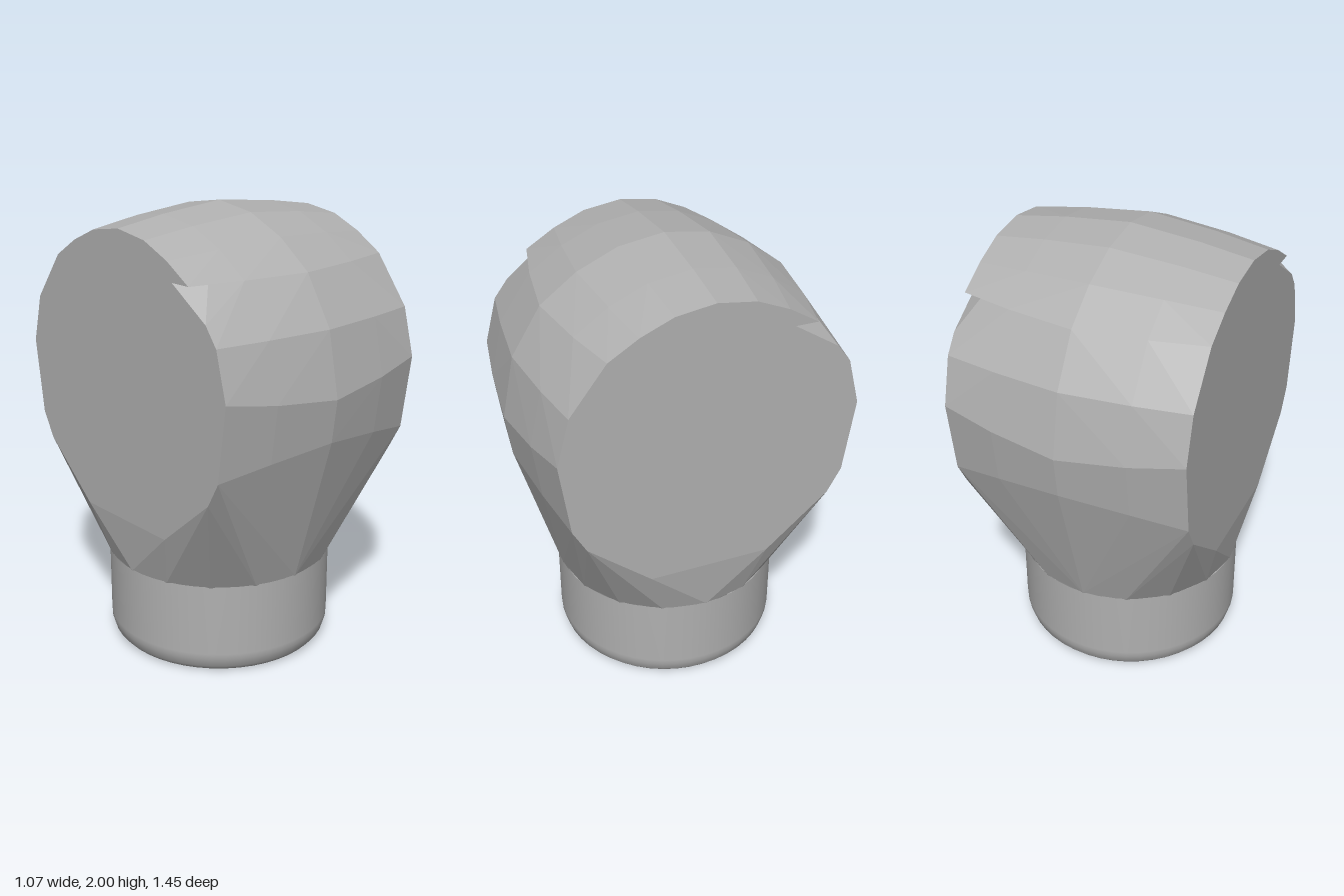
import * as THREE from 'three';
import { ConvexGeometry } from 'three/addons/geometries/ConvexGeometry.js';

// Half profiles as [z, y], from the crown down
const CENTRE = [[0, 2], [0.2, 1.97], [0.38, 1.89], [0.54, 1.77], [0.67, 1.56], [0.725, 1.28], [0.7, 1.09]];
const EDGE = [[0, 1.935], [0.17, 1.91], [0.31, 1.85], [0.44, 1.77], [0.6, 1.56], [0.655, 1.35], [0.61, 1.02]];
const EDGE_LOW = [[0.55, 0.91], [0.27, 0.67]];
const SIDE_X = 0.535, NECK_R = 0.508, NECK_TOP = 0.42, SEAM = 3;

// Points of the bulging head for profile rows from..to, mirrored in x and z
function headPoints(from, to) {
  const pts = [];
  for (let i = from; i <= to; i++) {
    const c = CENTRE[i], e = EDGE[i];
    for (const sz of [-1, 1]) {
      pts.push(new THREE.Vector3(0, c[1], sz * c[0]));
      for (const sx of [-1, 1]) {
        const t = 0.45;
        pts.push(new THREE.Vector3(sx * 0.3, c[1] + (e[1] - c[1]) * t, sz * (c[0] + (e[0] - c[0]) * t)));
        // two opposite corners are chipped just under the seam
        if (from === SEAM && i === SEAM && sx * sz < 0) {
          pts.push(new THREE.Vector3(sx * 0.45, e[1], sz * 0.455));
          pts.push(new THREE.Vector3(sx * SIDE_X, e[1], sz * 0.34));
          pts.push(new THREE.Vector3(sx * SIDE_X, 1.64, sz * 0.54));
        } else {
          pts.push(new THREE.Vector3(sx * SIDE_X, e[1], sz * e[0]));
        }
      }
    }
  }
  return pts;
}

export function createModel() {
  const group = new THREE.Group();
  const grey = new THREE.MeshStandardMaterial({ color: 0xb0b0b0, side: THREE.DoubleSide });
  grey.name = 'plain grey';
  const add = (name, geometry) => {
    const mesh = new THREE.Mesh(geometry, grey);
    mesh.name = name;
    group.add(mesh);
  };

  // Domed crown above the seam
  add('crown', new ConvexGeometry(headPoints(0, SEAM)));

  // Head with flat sides, narrowing to the round neck
  const body = headPoints(SEAM, CENTRE.length - 1);
  for (const [z, y] of EDGE_LOW)
    for (const sx of [-1, 1]) for (const sz of [-1, 1]) body.push(new THREE.Vector3(sx * SIDE_X, y, sz * z));
  for (let i = 0; i < 16; i++) {
    const a = (i / 16) * Math.PI * 2;
    body.push(new THREE.Vector3(Math.cos(a) * NECK_R, NECK_TOP, Math.sin(a) * NECK_R));
  }
  add('head', new ConvexGeometry(body));

  // Round neck with a softened lower rim
  const profile = [[0.45, 0.004], [0.475, 0.012], [0.495, 0.035], [0.507, 0.075], [NECK_R, 0.1], [NECK_R, NECK_TOP + 0.006]];
  add('neck', new THREE.LatheGeometry(profile.map(p => new THREE.Vector2(p[0], p[1])), 48));

  // Underside ring around a five-sided socket, corners as [x, z]
  const socket = [[0.34, 0.26], [-0.28, 0.34], [-0.43, -0.11], [-0.04, -0.4], [0.39, -0.06]];
  const disc = new THREE.Shape().absarc(0, 0, 0.45, 0, Math.PI * 2);
  disc.holes.push(new THREE.Path(socket.map(p => new THREE.Vector2(p[0], p[1]))));
  const ring = new THREE.ShapeGeometry(disc, 24);
  ring.rotateX(Math.PI / 2);
  ring.translate(0, 0.004, 0);
  add('underside', ring);

  // Socket walls and ceiling
  const depth = 0.42, v = [];
  socket.forEach(([x0, z0], i) => {
    const [x1, z1] = socket[(i + 1) % socket.length];
    v.push(x0, 0.004, z0, x1, 0.004, z1, x1, depth, z1);
    v.push(x0, 0.004, z0, x1, depth, z1, x0, depth, z0);
    v.push(x0, depth, z0, x1, depth, z1, 0, depth, 0);
  });
  const cavity = new THREE.BufferGeometry();
  cavity.setAttribute('position', new THREE.Float32BufferAttribute(v, 3));
  cavity.computeVertexNormals();
  add('socket', cavity);

  return group;
}
